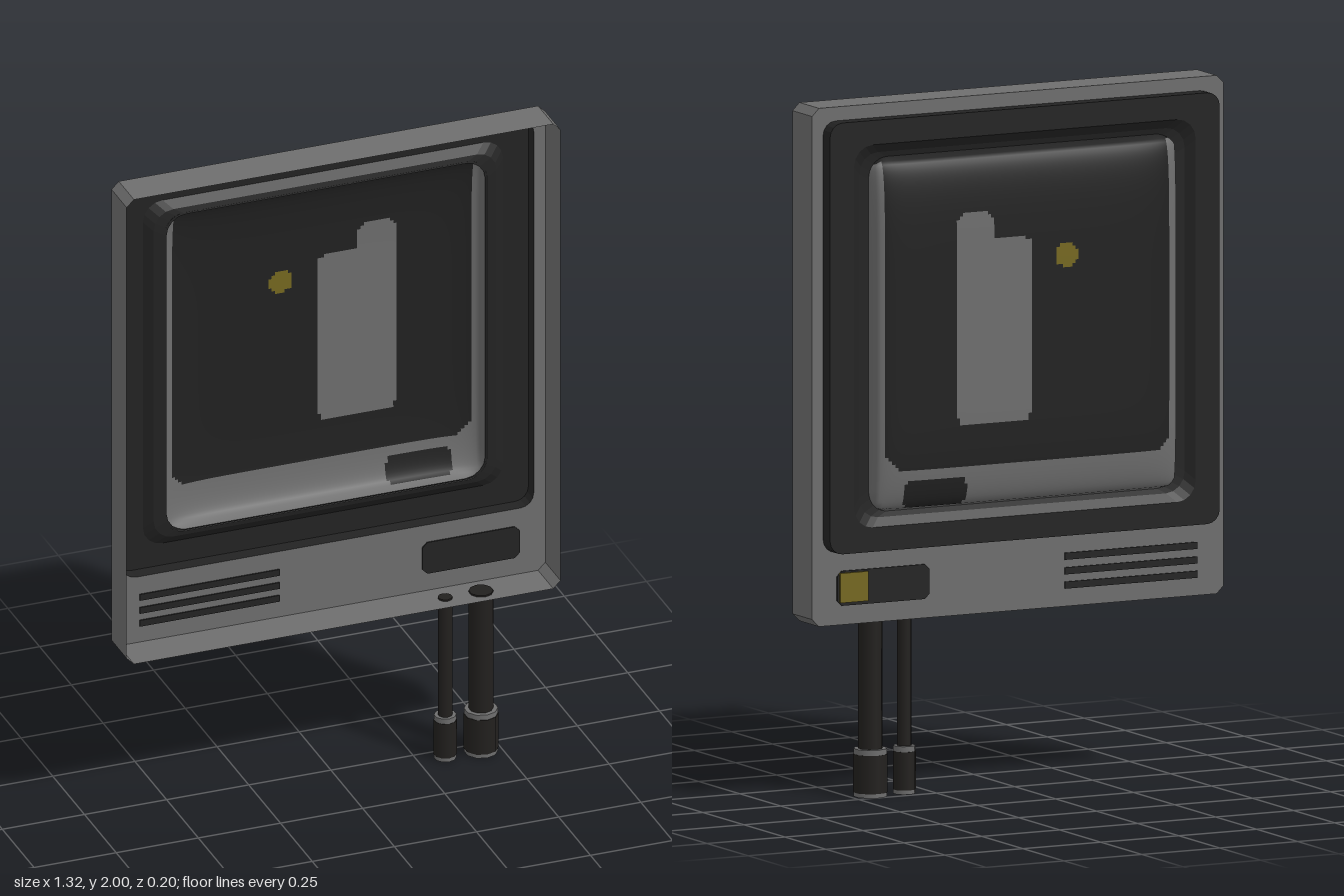
import * as THREE from 'three';

const mat = (name, color) => new THREE.MeshStandardMaterial({ name, color, side: THREE.DoubleSide });

// Rounded rectangle outline as a list of points; n = 1 gives chamfered corners
function outline(cx, cy, w, h, r, n) {
  const pts = [];
  [[1, 1], [-1, 1], [-1, -1], [1, -1]].forEach(([sx, sy], k) => {
    for (let i = 0; i <= n; i++) {
      const a = (k + i / n) * Math.PI / 2;
      pts.push(new THREE.Vector2(cx + sx * (w - r) + r * Math.cos(a), cy + sy * (h - r) + r * Math.sin(a)));
    }
  });
  return pts;
}

// Flat-faced skin between successive outlines placed at depth z
function loft(rings) {
  const pos = [];
  for (let k = 0; k + 1 < rings.length; k++) {
    const A = rings[k], B = rings[k + 1], n = A.pts.length;
    for (let i = 0; i < n; i++) {
      const j = (i + 1) % n;
      const a = [A.pts[i].x, A.pts[i].y, A.z], b = [A.pts[j].x, A.pts[j].y, A.z];
      const c = [B.pts[j].x, B.pts[j].y, B.z], d = [B.pts[i].x, B.pts[i].y, B.z];
      pos.push(...a, ...c, ...b, ...a, ...d, ...c);
    }
  }
  const g = new THREE.BufferGeometry();
  g.setAttribute('position', new THREE.Float32BufferAttribute(pos, 3));
  g.computeVertexNormals();
  return g;
}

// Bulging glass, with each small cell assigned to a colour by its place
function screenGeometry() {
  const W = 0.49, H = 0.51, CY = 1.34, nx = 98, ny = 102, r = 0.06;
  const pos = [], cells = [[], [], []];
  const bulge = t => Math.pow(Math.max(0, 1 - Math.pow(Math.abs(t), 6)), 0.33);
  for (let j = 0; j <= ny; j++) {
    for (let i = 0; i <= nx; i++) {
      let x = -W + 2 * W * i / nx, y = -H + 2 * H * j / ny;
      const z = -0.04 - 0.065 * bulge(x / W) * bulge(y / H);
      const dx = Math.abs(x) - (W - r), dy = Math.abs(y) - (H - r), d = Math.hypot(dx, dy);
      if (dx > 0 && dy > 0 && d > r) { // pull corners onto an arc
        x = Math.sign(x) * (W - r + dx * r / d);
        y = Math.sign(y) * (H - r + dy * r / d);
      }
      pos.push(x, y + CY, z);
    }
  }
  const within = (x, y, x0, x1, y0, y1, c = 0) => {
    const ex = Math.min(x - x0, x1 - x), ey = Math.min(y - y0, y1 - y);
    return ex > 0 && ey > 0 && ex + ey > c;
  };
  const colourAt = (x, y) => {
    if (within(x, y, -0.145, -0.08, 1.5, 1.575, 0.02)) return 2;
    if (within(x, y, 0, 0.24, 1.07, 1.6, 0.02) || within(x, y, 0.12, 0.24, 1.5, 1.68, 0.02)) return 1;
    if (within(x, y, 0.2, 0.4, 0.84, 0.92, 0.02)) return 0;
    if (y < 0.835 || y > 1.84) return 0;
    return within(x, y, -0.455, 0.455, 0.95, 2, 0.04) ? 0 : 1;
  };
  for (let j = 0; j < ny; j++) {
    for (let i = 0; i < nx; i++) {
      const a = j * (nx + 1) + i, b = a + 1, d = a + nx + 1, c = d + 1;
      const x = -W + 2 * W * (i + 0.5) / nx, y = CY - H + 2 * H * (j + 0.5) / ny;
      cells[colourAt(x, y)].push(a, d, b, b, d, c);
    }
  }
  const g = new THREE.BufferGeometry();
  g.setAttribute('position', new THREE.Float32BufferAttribute(pos, 3));
  g.setIndex(cells.flat());
  let start = 0;
  cells.forEach((list, k) => { g.addGroup(start, list.length, k); start += list.length; });
  g.computeVertexNormals();
  return g;
}

export function createModel() {
  const model = new THREE.Group();
  model.name = 'monitor';
  const grey = mat('casing grey', 0x6e6e6e);
  const dark = mat('bezel black', 0x232323);
  const glass = mat('glass black', 0x212121);
  const yellow = mat('dull yellow', 0x766820);
  const rubber = mat('cable black', 0x22201e);

  const add = (name, geometry, material, x = 0, y = 0, z = 0, parent = model) => {
    const m = new THREE.Mesh(geometry, material);
    m.name = name;
    m.position.set(x, y, z);
    parent.add(m);
    return m;
  };

  // Hollow casing, open towards +z
  const casing = outline(0, 1.255, 0.66, 0.745, 0.022, 1);
  add('casingWalls', loft([{ pts: casing, z: 0.1 }, { pts: casing, z: -0.02 }]), grey);
  const plate = new THREE.Shape(casing);
  plate.holes.push(new THREE.Path(outline(0, 1.34, 0.625, 0.62, 0.04, 4)));
  add('casingPlate', new THREE.ShapeGeometry(plate), grey, 0, 0, -0.02);

  // Stepped bezel around the glass
  const bezel = [
    [0.625, 0.62, 0.04, -0.02],
    [0.625, 0.62, 0.04, -0.063],
    [0.548, 0.55, 0.06, -0.063],
    [0.522, 0.525, 0.06, -0.045],
    [0.485, 0.505, 0.06, -0.04],
  ].map(([w, h, r, z]) => ({ pts: outline(0, 1.34, w, h, r, 4), z }));
  add('bezel', loft(bezel), dark);

  add('screen', screenGeometry(), [glass, grey, yellow]);

  // Vent slots
  for (const y of [0.571, 0.612, 0.654]) {
    add('ventSlot', new THREE.BoxGeometry(0.425, 0.02, 0.008), dark, -0.362, y, -0.02);
  }

  // Control panel and power button
  const panel = new THREE.Shape(outline(0.433, 0.615, 0.148, 0.05, 0.015, 1));
  add('controlPanel', new THREE.ExtrudeGeometry(panel, { depth: 0.008, bevelEnabled: false }), dark, 0, 0, -0.024);
  add('powerButton', new THREE.BoxGeometry(0.09, 0.085, 0.01), yellow, 0.53, 0.617, -0.026);

  // Cables with plugs
  for (const [x, r, plugR] of [[0.44, 0.035, 0.05], [0.331, 0.021, 0.033]]) {
    const cable = new THREE.Group();
    cable.name = 'cable';
    cable.position.set(x, 0, 0.043);
    model.add(cable);
    const tube = (name, r0, y0, y1, material) =>
      add(name, new THREE.CylinderGeometry(r0, r0, y1 - y0, 10), material, 0, (y0 + y1) / 2, 0, cable);
    tube('cord', r, 0.13, 0.515, rubber);
    tube('plugTip', plugR * 0.97, 0, 0.012, grey);
    tube('plugBody', plugR, 0.012, 0.122, rubber);
    tube('plugCollar', plugR * 0.97, 0.122, 0.138, grey);
  }
  return model;
}
